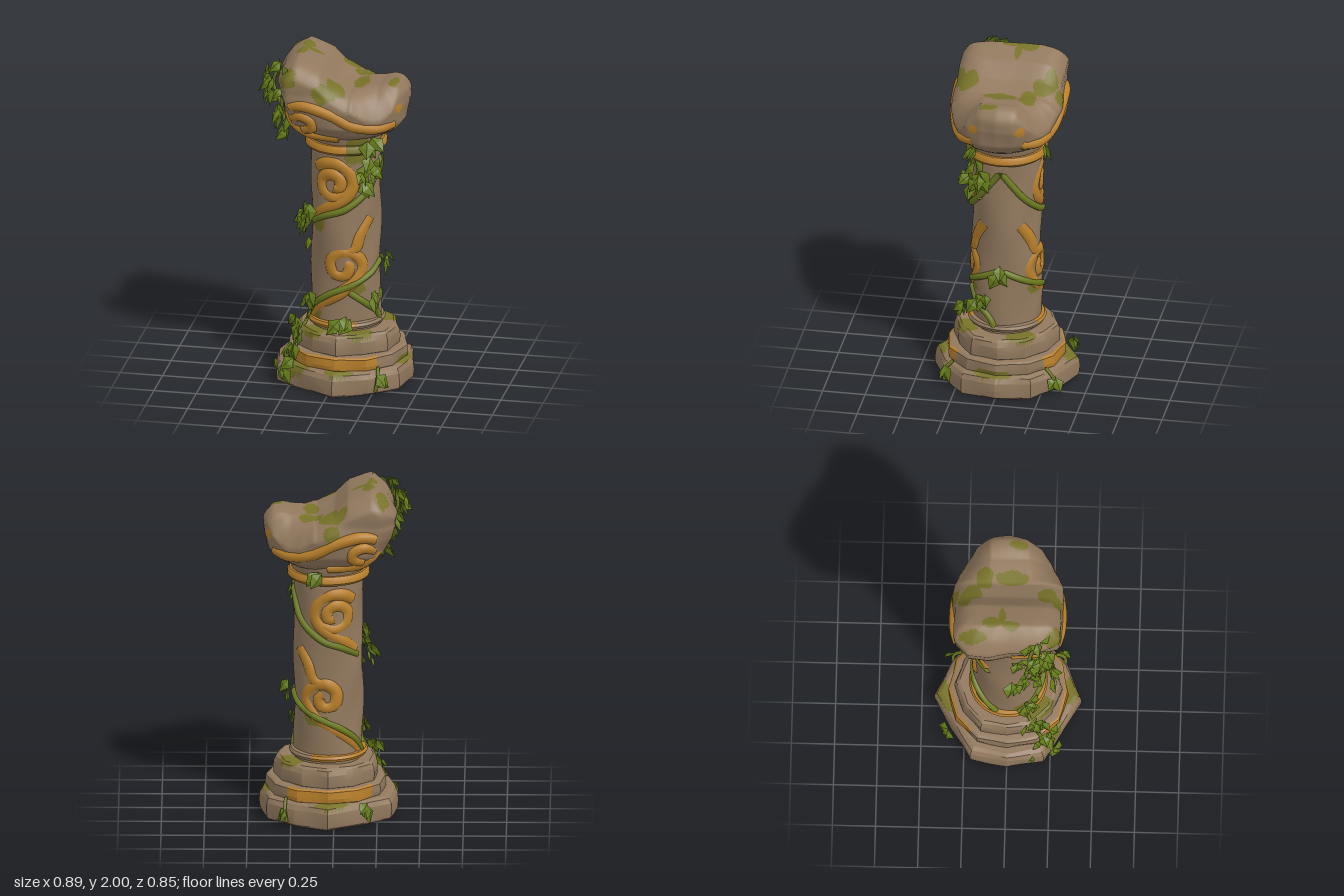
import * as THREE from 'three';
import { mergeGeometries, toCreasedNormals } from 'three/addons/utils/BufferGeometryUtils.js';

const CX = 0.035, SHAFT_R = 0.2, RAD = Math.PI / 180;
const mat = (name, color, side = THREE.FrontSide) => {
  const m = new THREE.MeshStandardMaterial({ color, side });
  m.name = name;
  return m;
};

// Piecewise linear lookup in a list of [input, output]
function lookup(table, v) {
  if (v <= table[0][0]) return table[0][1];
  for (let i = 1; i < table.length; i++) {
    const [x0, y0] = table[i - 1], [x1, y1] = table[i];
    if (v <= x1) return y0 + (y1 - y0) * (v - x0) / (x1 - x0);
  }
  return table[table.length - 1][1];
}
// Radius of a straight-sided polygon with evenly spaced corners, angle 0 = front, 90 = +x
function around(corners, a) {
  const n = corners.length, d = Math.PI * 2 / n, t = ((a / d) % n + n) % n, i = Math.floor(t) % n;
  const f = (t - Math.floor(t)) * d;
  return Math.sin(d) / (Math.sin(d - f) / corners[i] + Math.sin(f) / corners[(i + 1) % n]);
}
const polar = (a, r, y) => new THREE.Vector3(CX + r * Math.sin(a), y, r * Math.cos(a));

// Closed surface from stacked loops
function loops(n, rows, point, crease = 0.6) {
  const pos = [], idx = [];
  for (let j = 0; j < rows; j++) {
    for (let i = 0; i < n; i++) pos.push(...point(i / n * Math.PI * 2, j).toArray());
  }
  for (let j = 0; j < rows - 1; j++) {
    for (let i = 0; i < n; i++) {
      const a = j * n + i, b = j * n + (i + 1) % n;
      idx.push(a, b, b + n, a, b + n, a + n);
    }
  }
  const g = new THREE.BufferGeometry();
  g.setAttribute('position', new THREE.Float32BufferAttribute(pos, 3));
  g.setIndex(idx);
  return toCreasedNormals(g, crease);
}
// Sorts triangles into material groups by the position of their centre
function paint(g, rule) {
  const p = g.attributes.position, lists = [[], [], []], c = new THREE.Vector3(), v = new THREE.Vector3();
  for (let i = 0; i < p.count; i += 3) {
    c.set(0, 0, 0);
    for (let k = 0; k < 3; k++) c.add(v.fromBufferAttribute(p, i + k));
    lists[rule(c.divideScalar(3))].push(i, i + 1, i + 2);
  }
  g.setIndex(lists.flat());
  let start = 0;
  lists.forEach((l, k) => { if (l.length) g.addGroup(start, l.length, k); start += l.length; });
  return g;
}
// True inside one of the blobs [x, y, z, rx, ry, rz], with an uneven edge
const inBlobs = (blobs, p) => blobs.some(([x, y, z, rx, ry, rz]) =>
  ((p.x - x) / rx) ** 2 + ((p.y - y) / ry) ** 2 + ((p.z - z) / rz) ** 2
    < 1 + 0.25 * Math.sin(p.x * 60 + p.y * 40) * Math.sin(p.z * 55));

// Broken capital: outline, side profile and top height
const CAP_OUT = [0.32, 0.325, 0.335, 0.35, 0.36, 0.37, 0.372, 0.37, 0.36, 0.345, 0.335, 0.32,
  0.315, 0.325, 0.365, 0.44, 0.46, 0.43, 0.395, 0.4, 0.42, 0.44, 0.37, 0.33];
const CAP_SIDE = [[1.53, 0.68], [1.57, 0.86], [1.62, 0.97], [1.72, 1.02], [1.78, 1.01], [1.81, 0.985], [1.9, 0.98]];
const CAP_TOP = [[-0.4, 1.93], [-0.31, 1.985], [-0.22, 2.01], [-0.08, 1.955], [0, 1.875], [0.1, 1.825],
  [0.25, 1.845], [0.36, 1.9], [0.44, 1.9]];
function capR(a, y) {
  const left = Math.max(0, -Math.sin(a)) ** 2 * Math.min(1, Math.max(0, (1.86 - y) / 0.3));
  return around(CAP_OUT, a) * lookup(CAP_SIDE, y) * (1 - 0.28 * left) + 0.005 * Math.sin(5 * a + y * 17);
}
const capTop = (p, s) => lookup(CAP_TOP, p.x) - 0.1 * s ** 6 - 0.012 * (1 - s)
  - Math.min(1, Math.max(0, (p.x - 0.12) / 0.2)) * Math.max(0, Math.abs(p.z) - 0.11) * 0.9;
function capPoint(a, j) {
  let y = 1.8;
  for (let k = 0; k < 8; k++) y = capTop(polar(a, capR(a, y), y), 1);
  if (j === 0) return polar(a, 0, 1.53);
  if (j <= 25) {
    const h = 1.53 + (y - 1.53) * (j - 1) / 24;
    return polar(a, capR(a, h), h);
  }
  const s = 1 - (j - 25) / 34, p = polar(a, capR(a, y) * s, 0);
  p.y = capTop(p, s);
  return p;
}

// Tapered tube along a list of points
function strand(points, radius, steps, sides) {
  const curve = new THREE.CatmullRomCurve3(points);
  const g = new THREE.TubeGeometry(curve, steps, radius, sides), p = g.attributes.position;
  for (const j of [0, steps]) {
    const c = curve.getPointAt(j / steps);
    for (let i = 0; i <= sides; i++) p.setXYZ(j * (sides + 1) + i, c.x, c.y, c.z);
  }
  return g;
}
// Lays front-view [x, y] points onto a round surface, sunk by a depth
function wrap(points, radius, depth) {
  return points.map(([x, y]) => {
    let lo = -88 * RAD, hi = 88 * RAD;
    for (let k = 0; k < 30; k++) {
      const m = (lo + hi) / 2;
      if (CX + radius(m, y) * Math.sin(m) < x) lo = m; else hi = m;
    }
    return polar(lo, radius(lo, y) - depth, y);
  });
}
const both = list => list.flatMap(pts => [pts, pts.map(p => new THREE.Vector3(p.x, p.y, -p.z))]);

export function createModel() {
  const group = new THREE.Group();
  const stone = mat('stone', 0x92795e), moss = mat('moss', 0x777228), gold = mat('ochre', 0xb9802b);
  const vine = mat('vine', 0x6c7a20), leafMat = mat('leaf', 0x667c1a, THREE.DoubleSide);
  const add = (name, geo, m) => {
    const mesh = new THREE.Mesh(geo, m);
    mesh.name = name;
    group.add(mesh);
  };
  const painted = [stone, moss, gold];

  // Base tiers: chipped slabs with bevelled edges
  const tier = (name, y0, y1, radii, bevel, rule) => {
    const rows = [[y0, 0], [y0, 0.97], [y0 + 0.012, 1], [y0 + (y1 - y0) * 0.4, 1.01],
      [y1 - bevel, 1], [y1 - bevel * 0.3, 0.965], [y1, 0.91], [y1, 0.7], [y1, 0.45]];
    add(name, paint(loops(120, rows.length, (a, j) =>
      polar(a, around(radii, a) * rows[j][1] * (1 + 0.008 * Math.sin(7 * a + j)), rows[j][0]), 0.25), rule), painted);
  };
  const baseMoss = [[0.06, 0.14, 0.37, 0.09, 0.03, 0.07], [0.37, 0.14, 0.02, 0.06, 0.03, 0.11],
    [0, 0.14, -0.37, 0.1, 0.03, 0.07], [-0.22, 0.13, 0.28, 0.09, 0.06, 0.1], [0.16, 0.33, 0.22, 0.08, 0.03, 0.08],
    [0.25, 0.33, -0.12, 0.08, 0.03, 0.08], [-0.12, 0.33, 0.2, 0.08, 0.04, 0.08]];
  const mossy = p => inBlobs(baseMoss, p) ? 1 : 0;
  tier('bottomSlab', 0, 0.14, [0.42, 0.39, 0.41, 0.395, 0.41, 0.39, 0.425, 0.37, 0.42, 0.405, 0.42, 0.37], 0.04, mossy);
  tier('bandedSlab', 0.13, 0.22, [0.345, 0.355, 0.36, 0.36, 0.36, 0.355, 0.345, 0.345, 0.345, 0.335, 0.345, 0.345],
    0.012, p => p.y > 0.145 && p.y < 0.214 && p.x > -0.22 && p.x < 0.27 && Math.abs(p.z) > 0.2 ? 2 : mossy(p));
  tier('upperSlab', 0.21, 0.335, [0.31, 0.295, 0.32, 0.315, 0.31, 0.3, 0.31, 0.295, 0.305, 0.285, 0.3, 0.295], 0.04, mossy);

  // Shaft with worn surface
  const shaftMoss = [[0.14, 1.42, 0.17, 0.08, 0.05, 0.1], [-0.13, 0.42, 0.12, 0.06, 0.07, 0.09],
    [-0.1, 0.98, 0.15, 0.05, 0.05, 0.07], [0.12, 0.6, 0.19, 0.08, 0.04, 0.06],
    [0.12, 0.6, -0.19, 0.08, 0.04, 0.06], [-0.16, 1.37, 0.03, 0.05, 0.06, 0.06]];
  add('shaft', paint(loops(96, 60, (a, j) => {
    const y = 0.32 + j * 1.2 / 59;
    return polar(a, SHAFT_R + 0.004 * Math.sin(3 * a + y * 9) + 0.003 * Math.sin(5 * a - y * 14), y);
  }), p => inBlobs(shaftMoss, p) ? 1 : 0), painted);

  // Rings around the shaft; the ochre of the lower one is worn away on the left
  const ringMoss = [[0.14, 1.48, 0.19, 0.07, 0.08, 0.08]];
  const ring = (name, rule, profile) => add(name, paint(loops(64, profile.length, (a, j) =>
    polar(a, ...profile[j]), 0.7), p => inBlobs(ringMoss, p) ? 1 : rule(p)), painted);
  ring('lowerRing', p => p.x < 0.13 ? 2 : 0, [[0.19, 0.35], [0.218, 0.352], [0.228, 0.37], [0.218, 0.386], [0.19, 0.392]]);
  ring('upperRing', () => 2, [[0.19, 1.425], [0.225, 1.43], [0.238, 1.445], [0.238, 1.47], [0.225, 1.486], [0.19, 1.49]]);
  ring('collar', () => 0, [[0.19, 1.48], [0.212, 1.485], [0.222, 1.51], [0.225, 1.545], [0.1, 1.55]]);

  // Capital, with moss on top and small ochre marks
  const capMoss = [[-0.28, 1.95, -0.2, 0.035, 0.15, 0.08], [-0.2, 1.98, -0.09, 0.035, 0.1, 0.05],
    [-0.15, 1.98, -0.03, 0.055, 0.1, 0.022], [-0.22, 1.99, 0.02, 0.03, 0.1, 0.05],
    [-0.03, 1.86, -0.25, 0.06, 0.12, 0.04], [0.03, 1.85, -0.21, 0.06, 0.1, 0.06],
    [0.13, 1.83, -0.14, 0.075, 0.1, 0.05], [0.135, 1.83, 0.02, 0.045, 0.08, 0.1],
    [0.33, 1.87, 0.06, 0.03, 0.06, 0.06], [0.02, 1.85, 0.23, 0.06, 0.1, 0.06], [-0.04, 1.83, 0.29, 0.07, 0.06, 0.06],
    [-0.26, 1.9, 0.27, 0.07, 0.06, 0.06], [0.02, 1.78, -0.32, 0.05, 0.05, 0.05]];
  const capMarks = [1, -1].map(s => [0.39, 1.72, 0.14 * s, 0.06, 0.03, 0.03]);
  add('capital', paint(loops(180, 60, capPoint, 0.8), p =>
    inBlobs(capMarks, p) ? 2 : inBlobs(capMoss, p) ? 1 : 0), painted);

  // Broad ochre scrolls and capital bands in low relief, repeated on the back
  const scrolls = [
    [[-0.15, 0.38], [-0.09, 0.48], [0.03, 0.565], [0.12, 0.635], [0.165, 0.73], [0.13, 0.8], [0.05, 0.82],
      [-0.015, 0.77], [0.0, 0.69], [0.07, 0.68], [0.09, 0.74], [0.05, 0.76]],
    [[0.05, 0.81], [0.12, 0.84], [0.15, 0.92], [0.205, 1.03]],
    [[-0.12, 1.32], [-0.06, 1.36], [0.02, 1.365], [0.09, 1.32], [0.115, 1.24], [0.08, 1.17], [0.01, 1.12],
      [-0.06, 1.08], [-0.13, 1.0]],
    [[0.08, 1.18], [0.0, 1.155], [-0.07, 1.19], [-0.08, 1.26], [-0.02, 1.3], [0.04, 1.27], [0.03, 1.22], [-0.01, 1.225]],
  ].map(s => wrap(s, () => SHAFT_R, 0.032));
  const bands = [
    [[-0.27, 1.74], [-0.17, 1.755], [0, 1.71], [0.13, 1.645], [0.28, 1.62], [0.365, 1.635]],
    [[-0.32, 1.74], [-0.24, 1.63], [-0.16, 1.57], [-0.06, 1.55], [0.05, 1.55]],
    [[-0.25, 1.67], [-0.18, 1.69], [-0.12, 1.66], [-0.12, 1.62], [-0.18, 1.6]],
  ].map(s => wrap(s, capR, 0.02));
  add('scrolls', mergeGeometries(both(scrolls).map(p => strand(p, 0.046, 48, 14))), gold);
  add('capitalBands', mergeGeometries(both(bands).map(p => strand(p, 0.036, 36, 12))), gold);

  // Vines climbing the shaft, with thin sprigs on the base and capital
  const climb = pts => pts.map(([a, y, d = 0]) => polar(a * RAD, SHAFT_R + 0.004 + d, y));
  const vines = [...both([
    climb([[-75, 0.37], [-50, 0.47], [-20, 0.55], [20, 0.62], [55, 0.68], [90, 0.74]]),
    climb([[-62, 0.97], [-25, 1.04], [10, 1.09], [50, 1.2], [90, 1.38]])]),
  climb([[15, 0.58], [45, 0.5], [73, 0.42], [82, 0.34]]), climb([[40, 1.5, 0.02], [50, 1.38], [44, 1.28], [52, 1.17]])];
  const sprigs = [...both([climb([[36, 0.02, 0.2], [38, 0.1, 0.2], [42, 0.16, 0.16]])]),
    climb([[-58, 0.5], [-60, 0.36, 0.04], [-58, 0.28, 0.1], [-55, 0.18, 0.14], [-58, 0.06, 0.2]]),
    climb([[-68, 1.92, 0.2], [-72, 1.82, 0.22], [-68, 1.7, 0.18], [-70, 1.55, 0.15]])];
  add('vines', mergeGeometries(vines.map(p => strand(p, 0.02, 24, 8))), vine);
  add('sprigs', mergeGeometries(sprigs.map(p => strand(p, 0.011, 24, 6))), vine);

  // Leaves: folded diamonds in seeded clusters [angle, y, radius, count, angle spread, y spread]
  let seed = 7;
  const rnd = () => (seed = (seed * 16807) % 2147483647) / 2147483647 * 2 - 1;
  const leafShape = new THREE.BufferGeometry();
  leafShape.setAttribute('position', new THREE.Float32BufferAttribute(
    [0, 0, 0, -0.42, -0.4, -0.06, 0, -0.45, 0.1, 0.42, -0.4, -0.06, 0, -1, -0.05], 3));
  leafShape.setIndex([0, 1, 2, 0, 2, 3, 1, 4, 2, 2, 4, 3]);
  const flatLeaf = leafShape.toNonIndexed();
  const clusters = [[-64, 1.0, 0.245, 12, 20, 0.12], [46, 1.4, 0.235, 15, 13, 0.14], [86, 0.76, 0.23, 3, 8, 0.03],
    [58, 0.55, 0.235, 5, 10, 0.05], [14, 0.42, 0.25, 5, 16, 0.03], [-60, 0.5, 0.235, 6, 14, 0.05],
    [-60, 0.35, 0.3, 8, 14, 0.06], [-57, 0.23, 0.36, 6, 12, 0.06], [-60, 0.13, 0.42, 4, 14, 0.03],
    [-146, 0.14, 0.41, 3, 4, 0.03], [36, 0.12, 0.41, 2, 2, 0.02], [144, 0.12, 0.41, 2, 2, 0.02],
    [172, 1.53, 0.235, 2, 5, 0.03], [-66, 1.96, 0.39, 4, 9, 0.02], [-71, 1.87, 0.45, 13, 14, 0.08],
    [-72, 1.74, 0.4, 9, 13, 0.1], [-66, 1.57, 0.35, 4, 3, 0.06]];
  const leaves = [];
  for (const [a, y, r, count, da, dy] of clusters) {
    for (let i = 0; i < count; i++) {
      const ang = (a + rnd() * da) * RAD, size = 0.1 + rnd() * 0.02;
      const g = flatLeaf.clone().scale(size, size, size);
      g.rotateX(-0.4 + rnd() * 0.35).rotateZ(rnd() * 0.8).rotateY(ang + rnd() * 0.6);
      const p = polar(ang, r, y + rnd() * dy);
      leaves.push(g.translate(p.x, p.y, p.z));
    }
  }
  const foliage = mergeGeometries(leaves);
  foliage.computeVertexNormals();
  add('leaves', foliage, leafMat);
  return group;
}
